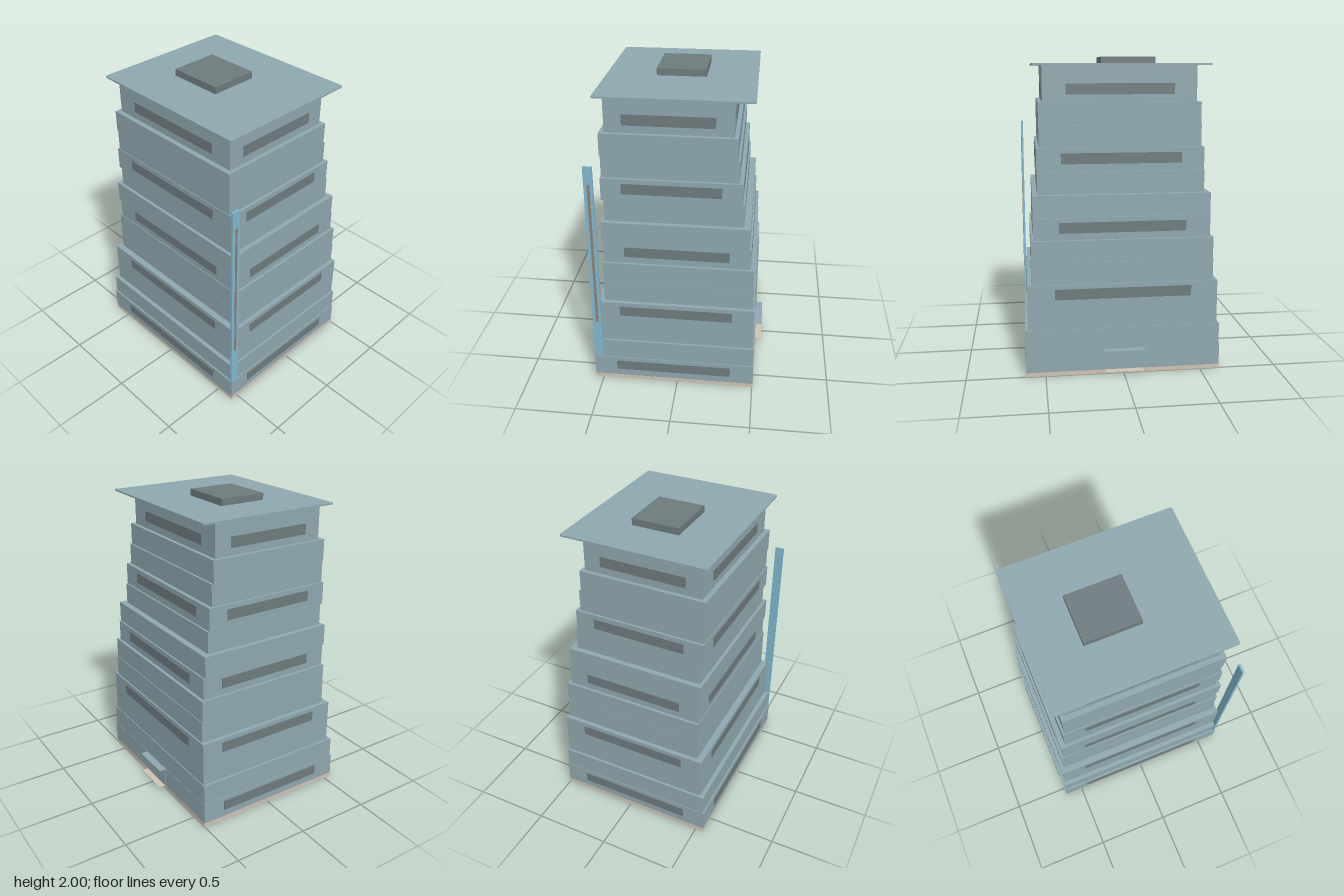
import * as THREE from 'three';

const mat = (name, color) => {
  const m = new THREE.MeshStandardMaterial({ color });
  m.name = name;
  return m;
};

export function createModel() {
  const wall = mat('blueGreyWall', 0x8ea7af);
  const glass = mat('darkGrey', 0x6e7b7e);
  const sand = mat('sand', 0xcfc2b2);
  const blue = mat('skyBlue', 0x80b8d0);
  const bronze = mat('bronze', 0x92806f);

  const model = new THREE.Group();
  model.name = 'tower';

  // Box given by its lower and upper limits on each axis
  const box = (name, material, x0, x1, y0, y1, z0, z1, parent = model) => {
    const mesh = new THREE.Mesh(new THREE.BoxGeometry(x1 - x0, y1 - y0, z1 - z0), material);
    mesh.position.set((x0 + x1) / 2, (y0 + y1) / 2, (z0 + z1) / 2);
    mesh.name = name;
    parent.add(mesh);
    return mesh;
  };

  box('plinth', sand, -0.553, 0.502, 0, 0.027, -0.627, 0.627);

  // Stepped storeys: bottom, top, left x, right x, back z, front z,
  // then optional window band: bottom y, x range, half width on the sides
  const storeys = [
    [0.027, 0.17, -0.553, 0.502, -0.626, 0.626, [0.075, -0.405, 0.352, 0.45]],
    [0.17, 0.305, -0.543, 0.5, -0.622, 0.62],
    [0.305, 0.595, -0.515, 0.494, -0.605, 0.606, [0.5, -0.373, 0.352, 0.434]],
    [0.595, 0.735, -0.474, 0.484, -0.577, 0.579],
    [0.735, 0.875, -0.473, 0.479, -0.576, 0.578],
    [0.875, 1.015, -0.468, 0.458, -0.558, 0.562, [0.918, -0.336, 0.325, 0.402]],
    [1.015, 1.155, -0.478, 0.447, -0.56, 0.563],
    [1.155, 1.295, -0.458, 0.405, -0.526, 0.531],
    [1.295, 1.44, -0.473, 0.393, -0.526, 0.533, [1.342, -0.346, 0.267, 0.381]],
    [1.44, 1.58, -0.468, 0.368, -0.511, 0.515],
    [1.58, 1.72, -0.473, 0.354, -0.511, 0.516],
    [1.72, 1.947, -0.442, 0.329, -0.486, 0.489, [1.767, -0.336, 0.22, 0.344]],
  ];
  const t = 0.003;
  storeys.forEach(([y0, y1, x0, x1, z0, z1, band], i) => {
    const storey = new THREE.Group();
    storey.name = 'storey' + (i + 1);
    model.add(storey);
    box('walls', wall, x0, x1, y0, y1, z0, z1, storey);
    if (!band) return;
    const [wy, wx0, wx1, h] = band;
    const top = wy + 0.068;
    box('frontWindow', glass, wx0, wx1, wy, top, z1 - t, z1 + t, storey);
    box('backWindow', glass, wx0, wx1, wy, top, z0 - t, z0 + t, storey);
    box('leftmostWindow', glass, x0 - t, x0 + t, wy, top, -h, h, storey);
    // The entrance takes the place of the lowest window on this side
    if (i > 0) box('entranceSideWindow', glass, x1 - t, x1 + t, wy, top, -h, h, storey);
  });

  // Roof slab with slightly rounded corners
  const [rx0, rx1, rz0, rz1, r] = [-0.494, 0.446, -0.553, 0.552, 0.015];
  const s = new THREE.Shape();
  s.absarc(rx1 - r, rz1 - r, r, 0, Math.PI / 2);
  s.absarc(rx0 + r, rz1 - r, r, Math.PI / 2, Math.PI);
  s.absarc(rx0 + r, rz0 + r, r, Math.PI, Math.PI * 1.5);
  s.absarc(rx1 - r, rz0 + r, r, Math.PI * 1.5, Math.PI * 2);
  const roof = new THREE.Mesh(
    new THREE.ExtrudeGeometry(s, { depth: 0.01, bevelEnabled: false, curveSegments: 4 }), wall);
  roof.rotation.x = Math.PI / 2;
  roof.position.y = 1.956;
  roof.name = 'roofSlab';
  model.add(roof);

  box('roofPlantRoom', glass, -0.18, 0.13, 1.956, 2, -0.254, 0.1);

  // Upright fin at the front corner with its inlaid strip
  box('cornerFin', blue, -0.551, -0.494, 0.17, 1.55, 0.61, 0.624);
  box('finStrip', bronze, -0.53, -0.514, 0.45, 1.435, 0.621, 0.627);

  // Entrance: door panel, canopy and threshold
  box('doorPanel', wall, 0.498, 0.506, 0.027, 0.153, -0.124, 0.128);
  box('doorHead', sand, 0.498, 0.508, 0.15, 0.16, -0.124, 0.128);
  box('canopy', wall, 0.5, 0.549, 0.16, 0.166, -0.132, 0.133);
  box('threshold', sand, 0.5, 0.549, 0.025, 0.029, -0.124, 0.128);

  return model;
}
